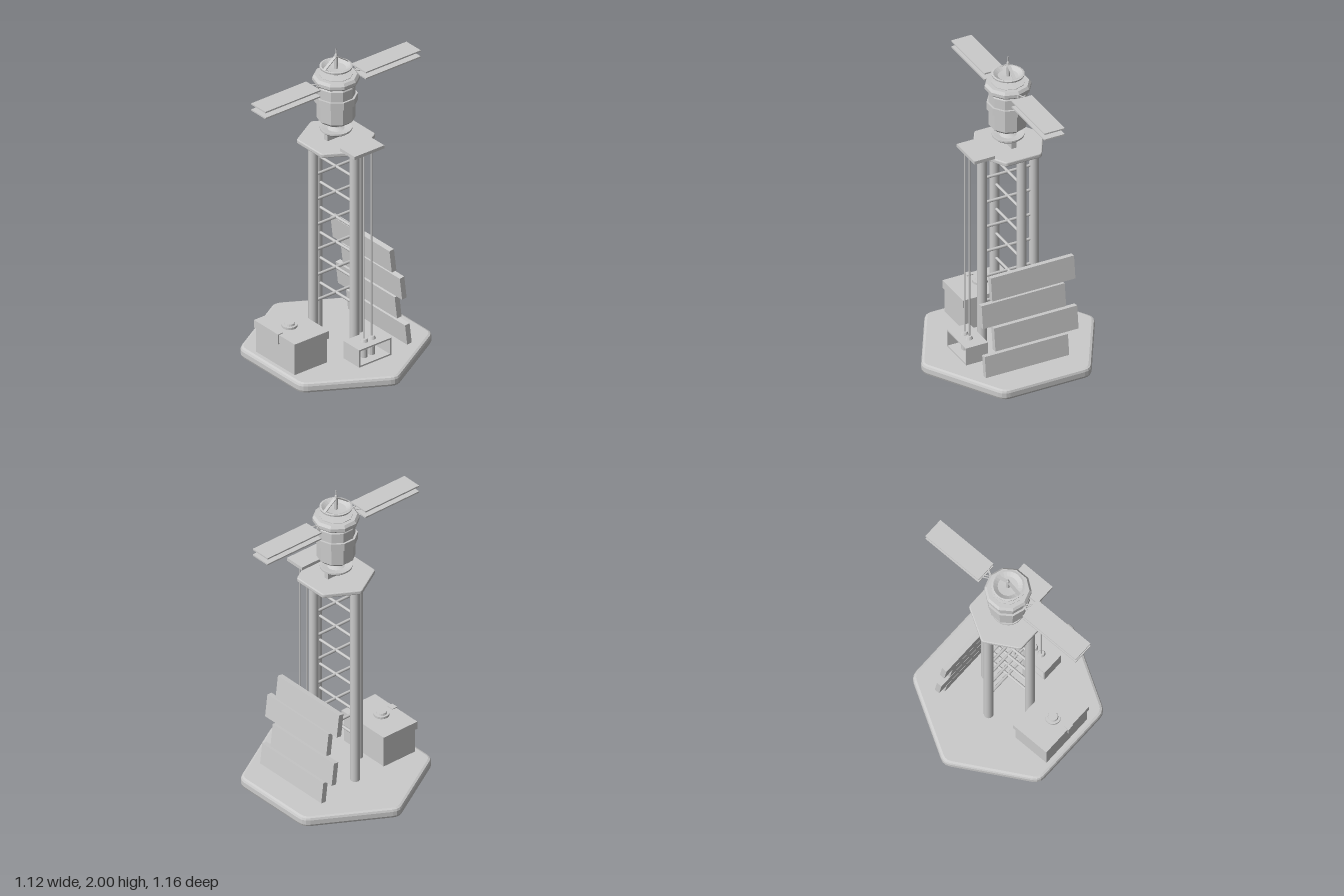
import * as THREE from 'three';

const mat = new THREE.MeshStandardMaterial({ color: 0xcccccc, flatShading: true });
const thinMat = new THREE.MeshStandardMaterial({ color: 0xcccccc, flatShading: true, side: THREE.DoubleSide });
const smoothMat = new THREE.MeshStandardMaterial({ color: 0xcccccc });

function add(parent, name, geometry, x = 0, y = 0, z = 0, material = mat) {
  const mesh = new THREE.Mesh(geometry, material);
  mesh.name = name;
  mesh.position.set(x, y, z);
  parent.add(mesh);
  return mesh;
}

function group(parent, name) {
  const g = new THREE.Group();
  g.name = name;
  parent.add(g);
  return g;
}

// Box given by its limits on each axis
function box(parent, name, [x0, x1], [y0, y1], [z0, z1]) {
  return add(parent, name, new THREE.BoxGeometry(x1 - x0, y1 - y0, z1 - z0),
    (x0 + x1) / 2, (y0 + y1) / 2, (z0 + z1) / 2);
}

// Round bar between two points
function rod(parent, name, from, to, radius, sides = 8) {
  const a = new THREE.Vector3(...from), b = new THREE.Vector3(...to);
  const dir = b.clone().sub(a);
  const mesh = add(parent, name, new THREE.CylinderGeometry(radius, radius, dir.length(), sides), 0, 0, 0, smoothMat);
  mesh.position.copy(a).add(b).multiplyScalar(0.5);
  mesh.quaternion.setFromUnitVectors(new THREE.Vector3(0, 1, 0), dir.normalize());
  return mesh;
}

function lathe(parent, name, profile, sides) {
  const pts = profile.map(([r, y]) => new THREE.Vector2(r, y));
  return add(parent, name, new THREE.LatheGeometry(pts, sides), 0, 0, 0, thinMat);
}

// Bevelled hexagonal slab with blunted corners pointing along x
function hexSlab(parent, name, radius, y0, y1, bevel, cut) {
  const r = radius - bevel * 1.1;
  const shape = new THREE.Shape();
  const corner = (i) => new THREE.Vector2(r * Math.cos(i * Math.PI / 3), r * Math.sin(i * Math.PI / 3));
  for (let i = 0; i < 6; i++) {
    const c = corner(i);
    const a = c.clone().lerp(corner(i + 5), cut), b = c.clone().lerp(corner(i + 1), cut);
    if (i) shape.lineTo(a.x, a.y); else shape.moveTo(a.x, a.y);
    shape.quadraticCurveTo(c.x, c.y, b.x, b.y);
  }
  const geo = new THREE.ExtrudeGeometry(shape, {
    depth: y1 - y0 - 2 * bevel, bevelEnabled: true, bevelSize: bevel,
    bevelThickness: bevel, bevelSegments: 2, curveSegments: 3,
  });
  geo.rotateX(-Math.PI / 2);
  return add(parent, name, geo, 0, y0 + bevel, 0);
}

function buildTower(root) {
  const tower = group(root, 'tower');
  for (const [x, z] of [[0.17, 0], [-0.17, 0], [0, 0.17], [0, -0.17]])
    rod(tower, 'column', [x, 0.05, z], [x, 1.4, z], 0.029, 16);
  for (let i = 0; i < 6; i++) {
    const y = 1.217 - i * 0.1675;
    rod(tower, 'crossRod', [-0.17, y, 0], [0.17, y, 0], 0.009);
    rod(tower, 'crossRod', [0, y, -0.17], [0, y, 0.17], 0.009);
  }
  hexSlab(tower, 'topPlate', 0.232, 1.39, 1.417, 0.006, 0.05);
}

function buildCrate(root) {
  const crate = group(root, 'crate');
  box(crate, 'crateBody', [-0.178, 0.178], [0.06, 0.23], [0.212, 0.452]);
  box(crate, 'crateLid', [-0.188, 0.188], [0.225, 0.275], [0.203, 0.46]);
  add(crate, 'knobBase', new THREE.CylinderGeometry(0.046, 0.046, 0.014, 16), 0, 0.282, 0.347);
  add(crate, 'knob', new THREE.CylinderGeometry(0.028, 0.032, 0.014, 16), 0, 0.294, 0.347);
  box(crate, 'latch', [0, 0.042], [0.25, 0.28], [0.43, 0.467]);
  box(crate, 'latchTab', [0, 0.042], [0.215, 0.255], [0.455, 0.467]);
}

function buildPlanks(root) {
  const planks = group(root, 'leaningPlanks');
  [[0.065, 0.202, 0.037], [0.215, 0.365, -0.034], [0.378, 0.527, 0.037], [0.535, 0.685, -0.034]]
    .forEach(([y0, y1, x]) => {
      const y = (y0 + y1) / 2;
      const plank = add(planks, 'plank', new THREE.BoxGeometry(0.545, y1 - y0 - 0.002, 0.034),
        x, y, -0.298 + (y - 0.065) * 0.122);
      plank.rotation.x = 0.12;
    });
}

function buildHoist(root) {
  const hoist = group(root, 'hoist');
  box(hoist, 'pulleyPlate', [0.153, 0.287], [1.416, 1.437], [-0.128, 0.093]);
  // Housing open at both x ends
  const X = [0.2, 0.345], Z = [-0.133, 0.106], t = 0.01;
  box(hoist, 'housingFloor', X, [0.06, 0.075], Z);
  box(hoist, 'housingRoof', X, [0.17, 0.18], Z);
  for (const z of [Z[0], Z[1] - t]) box(hoist, 'housingWall', X, [0.065, 0.18], [z, z + t]);
  for (const z of [0.015, -0.042]) {
    rod(hoist, 'cable', [0.275, 0.12, z], [0.275, 1.42, z], 0.005, 6);
    add(hoist, 'cableCollar', new THREE.CylinderGeometry(0.017, 0.024, 0.018, 12), 0.278, 0.189, z);
    add(hoist, 'weight', new THREE.CylinderGeometry(0.021, 0.021, 0.055, 12), 0.275, 0.105, z);
    add(hoist, 'weightNeck', new THREE.CylinderGeometry(0.01, 0.014, 0.02, 12), 0.275, 0.14, z);
  }
}

function buildSatellite(root) {
  const sat = group(root, 'satellite');
  box(sat, 'standBar', [-0.016, 0.016], [1.415, 1.462], [-0.076, 0.076]);
  lathe(sat, 'lowerDish', [[0, 1.452], [0.08, 1.457], [0.095, 1.47], [0.095, 1.48], [0.084, 1.479],
    [0.05, 1.474], [0.02, 1.484], [0.014, 1.498], [0.026, 1.51], [0.026, 1.525], [0, 1.54]], 24);
  // Faceted hull with a belt and a crown ring
  lathe(sat, 'hull', [[0, 1.528], [0.09, 1.528], [0.114, 1.55], [0.114, 1.63], [0.114, 1.765],
    [0.1, 1.785], [0.1, 1.835], [0, 1.84]], 10);
  lathe(sat, 'belt', [[0.11, 1.655], [0.127, 1.655], [0.127, 1.703], [0.11, 1.703]], 10);
  lathe(sat, 'crownRing', [[0.1, 1.784], [0.127, 1.785], [0.138, 1.796], [0.138, 1.816],
    [0.125, 1.832], [0.095, 1.832]], 10);
  lathe(sat, 'dishNeck', [[0.03, 1.832], [0.032, 1.844], [0.018, 1.85], [0.03, 1.858], [0.03, 1.87]], 12);
  lathe(sat, 'upperDish', [[0, 1.862], [0.06, 1.864], [0.095, 1.878], [0.097, 1.888],
    [0.086, 1.89], [0.06, 1.874], [0, 1.87]], 24);
  lathe(sat, 'mast', [[0.012, 1.865], [0.01, 1.95], [0.007, 1.965], [0.003, 1.97], [0.002, 2], [0, 2]], 8);

  for (const s of [1, -1]) {
    // Flat feed struts meeting at the mast
    const strut = add(sat, 'feedStrut', new THREE.BoxGeometry(0.02, 0.005, 0.113), 0, 1.918, s * 0.046);
    strut.rotation.x = s * Math.atan2(0.066, 0.09);

    // Stacked solar panels with their V brackets
    const wing = group(sat, s > 0 ? 'frontWing' : 'backWing');
    for (const y of [1.768, 1.808]) {
      add(wing, 'solarPanel', new THREE.BoxGeometry(0.132, 0.009, 0.41), 0, y, s * 0.374);
      for (const x of [-0.028, 0.028])
        rod(wing, 'wingBracket', [0, y, s * 0.125], [x, y, s * 0.18], 0.004, 6);
    }
    rod(wing, 'bracketPost', [0, 1.768, s * 0.134], [0, 1.81, s * 0.134], 0.005, 6);
  }
}

export function createModel() {
  const root = new THREE.Group();
  root.name = 'satelliteTower';
  hexSlab(root, 'base', 0.57, 0, 0.065, 0.018, 0.06);
  buildTower(root);
  buildCrate(root);
  buildPlanks(root);
  buildHoist(root);
  buildSatellite(root);
  return root;
}
